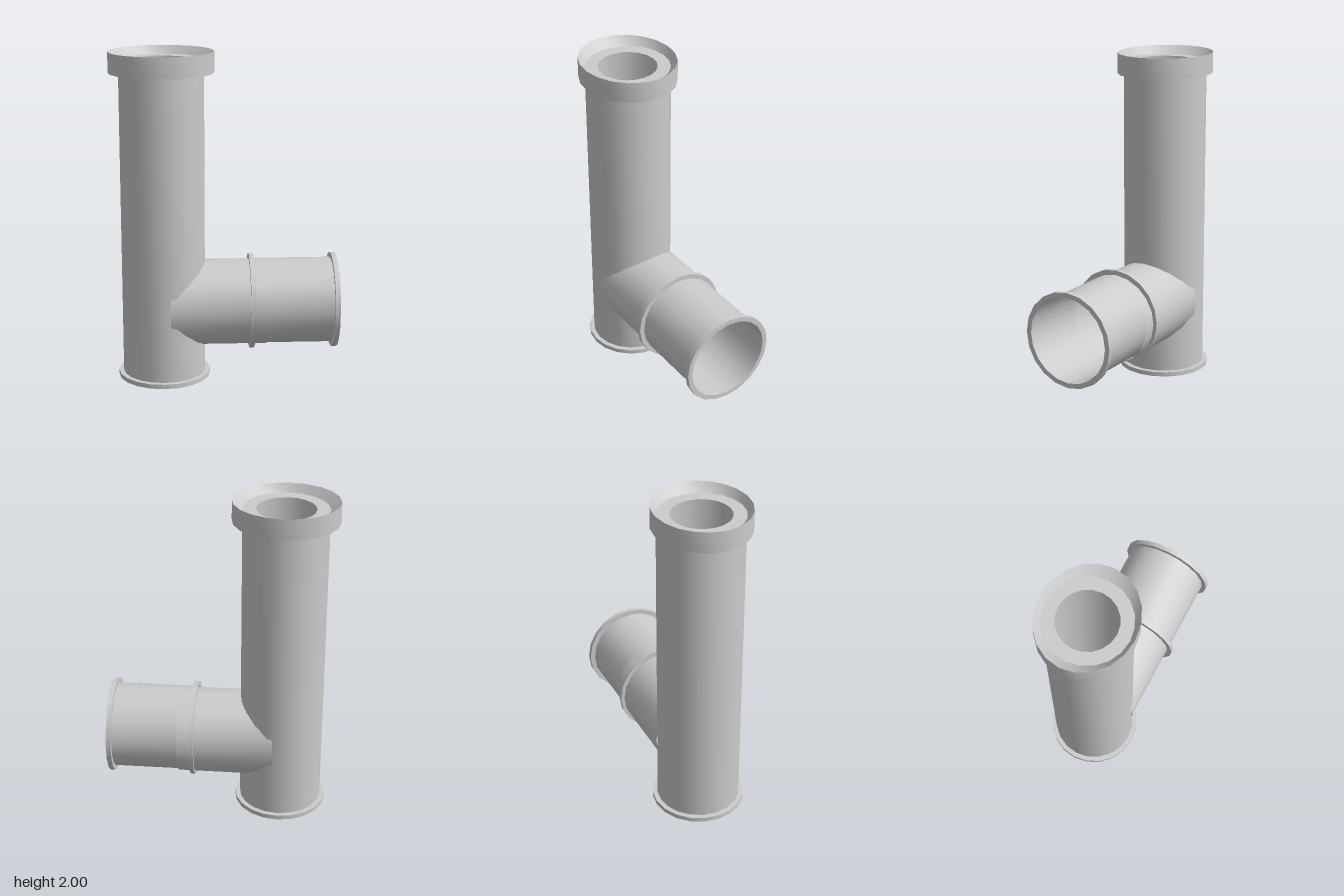
import * as THREE from 'three';
import { toCreasedNormals } from 'three/addons/utils/BufferGeometryUtils.js';

const SIDES = 20;
const material = new THREE.MeshStandardMaterial({ color: 0xcccccc, side: THREE.DoubleSide });

// Revolved part from [radius, height] pairs, sharp at its rims
function turned(name, profile, reshape) {
  const points = profile.map(([r, y]) => new THREE.Vector2(r, y));
  const geometry = new THREE.LatheGeometry(points, SIDES);
  if (reshape) reshape(geometry.attributes.position);
  const mesh = new THREE.Mesh(toCreasedNormals(geometry, 0.6), material);
  mesh.name = name;
  return mesh;
}

const tube = (name, r, y0, y1) => turned(name, [[r, y0], [r, y1]]);
const ring = (name, inner, outer, y0, y1) => turned(name,
  [[inner, y0], [outer, y0], [outer, y1], [inner, y1], [inner, y0]]);

export function createModel() {
  const model = new THREE.Group();
  model.name = 'branchPipe';

  // Upright pipe, open below, narrowed by a flat lip at the top
  const upright = new THREE.Group();
  upright.name = 'uprightPipe';
  upright.position.set(-0.37, 0, -0.005);
  upright.add(turned('mainTube', [[0.252, 0], [0.252, 1.95], [0.175, 1.95]]));
  upright.add(ring('bottomFlange', 0.252, 0.281, 0, 0.028));

  // Oval collar whose funnel runs down to the round tube
  upright.add(turned('topCollar',
    [[0.252, 1.875], [0.281, 1.875], [0.281, 2], [0.252, 1.95]],
    (position) => {
      for (let i = 0; i < position.count; i++) {
        const x = position.getX(i);
        if (Math.hypot(x, position.getZ(i)) > 0.27) position.setX(i, x * 1.112);
      }
    }));
  model.add(upright);

  // Side branch, built along y and laid over towards +x
  const branch = new THREE.Group();
  branch.name = 'sideBranch';
  branch.rotation.z = -Math.PI / 2;
  branch.position.set(0, 0.464, 0);
  const inner = tube('branchInnerTube', 0.261, -0.328, 0.255);
  inner.position.set(0.005, 0, -0.006);
  branch.add(inner);
  branch.add(tube('branchOuterTube', 0.26, 0.16, 0.68));
  branch.add(ring('middleRing', 0.26, 0.29, 0.15, 0.177));
  branch.add(ring('endRing', 0.26, 0.29, 0.653, 0.682));
  model.add(branch);

  return model;
}
